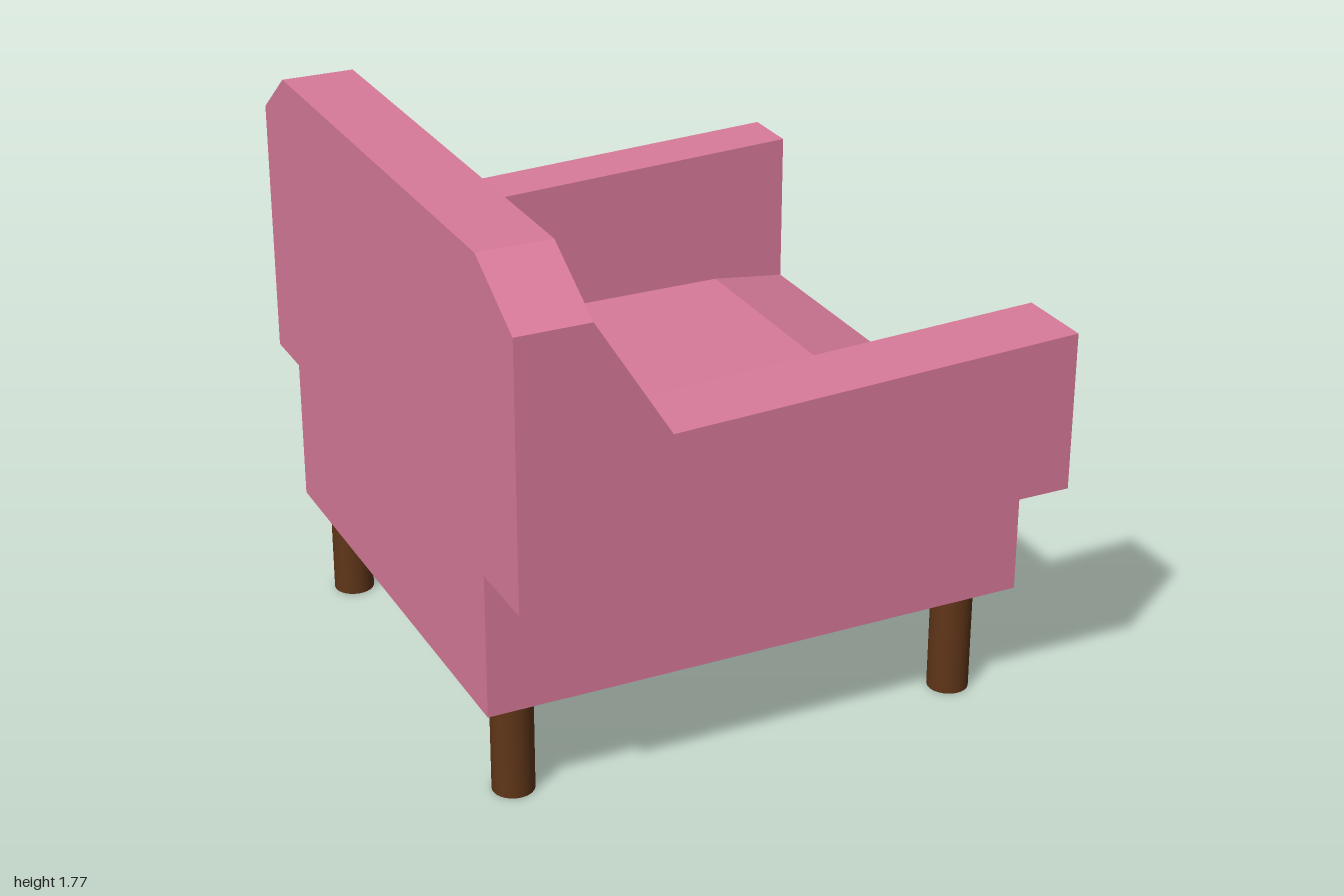
import * as THREE from 'three';

export function createModel() {
  const chair = new THREE.Group();
  chair.name = 'armchair';
  const fabric = new THREE.MeshStandardMaterial({ color: 0xd87a9a });
  const wood = new THREE.MeshStandardMaterial({ color: 0x5f3518 });

  // The seat faces +x; its sides lie slightly off centre in z.
  const BACK = -0.88, FRONT = 0.88, BACKREST = -0.65;
  const SIDE_L = 0.75, SIDE_R = -0.81;
  const BASE_Y = 0.34, SEAT_Y = 0.8;

  const add = (name, geometry, material = fabric) => {
    const mesh = new THREE.Mesh(geometry, material);
    mesh.name = name;
    chair.add(mesh);
    return mesh;
  };
  const extrude = (points, depth) => new THREE.ExtrudeGeometry(
    new THREE.Shape(points.map(([x, y]) => new THREE.Vector2(x, y))),
    { depth, bevelEnabled: false });

  // Seat base
  const base = new THREE.BoxGeometry(FRONT - BACK, SEAT_Y - BASE_Y, SIDE_L - SIDE_R);
  base.translate(0, (SEAT_Y + BASE_Y) / 2, (SIDE_L + SIDE_R) / 2);
  add('seatBase', base);

  // Cushion: a box whose top is drawn in to form four slopes
  const cushion = new THREE.BoxGeometry(1, 1, 1);
  const p = cushion.attributes.position;
  for (let i = 0; i < p.count; i++) {
    const top = p.getY(i) > 0, front = p.getX(i) > 0, left = p.getZ(i) > 0;
    p.setXYZ(i,
      front ? (top ? 0.53 : FRONT) : (top ? -0.62 : BACKREST),
      top ? 0.92 : SEAT_Y,
      left ? (top ? 0.555 : SIDE_L) : (top ? -0.62 : SIDE_R));
  }
  cushion.computeVertexNormals();
  add('seatCushion', cushion);

  // Backrest with clipped upper corners, profile drawn in -z and y
  const back = extrude([[-1, SEAT_Y], [1, SEAT_Y], [1, 1.625],
    [-SIDE_R, 1.77], [-SIDE_L, 1.77], [-1, 1.625]], BACKREST - BACK);
  back.rotateY(Math.PI / 2);
  back.translate(BACK, 0, 0);
  add('backrest', back);

  // Armrests, sweeping up to the backrest
  const armProfile = [[BACKREST, SEAT_Y], [FRONT, SEAT_Y], [FRONT, 1.3],
    [-0.415, 1.25], [BACKREST, 1.625]];
  for (const [name, z0, z1] of [['leftArm', SIDE_L, 1], ['rightArm', -1, SIDE_R]]) {
    add(name, extrude(armProfile, z1 - z0)).position.z = z0;
  }

  // Legs
  const leg = new THREE.CylinderGeometry(0.065, 0.065, BASE_Y, 32);
  for (const [name, x, z] of [['frontLeftLeg', 0.705, 0.67], ['frontRightLeg', 0.705, -0.735],
    ['backLeftLeg', -0.755, 0.625], ['backRightLeg', -0.755, -0.735]]) {
    add(name, leg, wood).position.set(x, BASE_Y / 2, z);
  }
  return chair;
}
